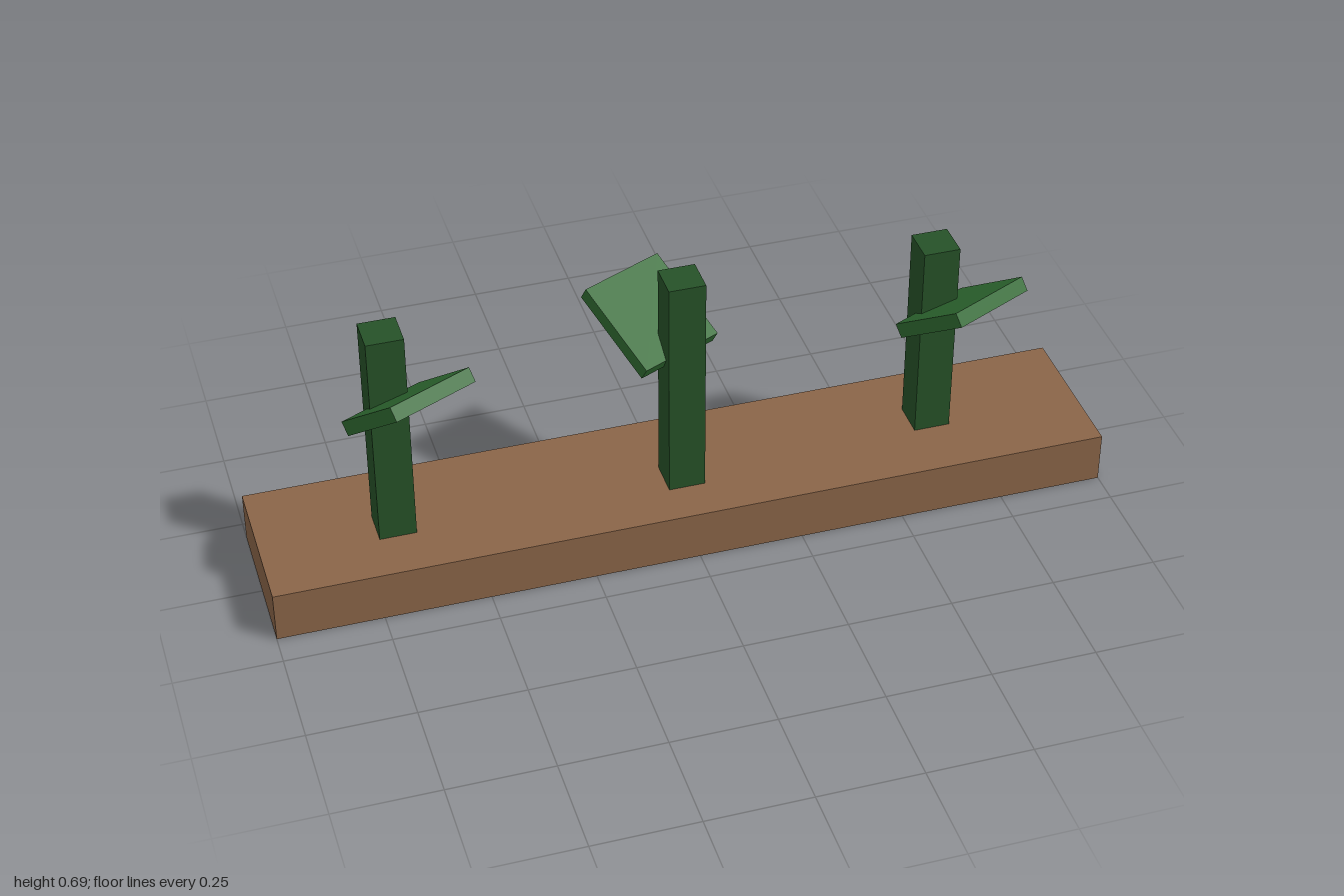
import * as THREE from 'three';

const soil = new THREE.MeshStandardMaterial({ color: 0x8a6548, side: THREE.DoubleSide });
soil.name = 'soilBrown';
const stem = new THREE.MeshStandardMaterial({ color: 0x265228 });
stem.name = 'stemGreen';
const leaf = new THREE.MeshStandardMaterial({ color: 0x306c32 });
leaf.name = 'leafGreen';

const BED_TOP = 0.125;
const YAW = THREE.MathUtils.degToRad(25);

function box(name, size, position, material) {
  const mesh = new THREE.Mesh(new THREE.BoxGeometry(...size), material);
  mesh.name = name;
  mesh.position.set(...position);
  return mesh;
}

// Stem x, z and top height; leaf centre, slope length and pitch (negative rises to the front)
const plants = [
  { x: -0.684, z: 0.003, top: 0.673, at: [-0.648, 0.532, 0.086], length: 0.24, pitch: -38 },
  { x: 0, z: 0.023, top: 0.69, at: [-0.046, 0.526, -0.08], length: 0.238, pitch: 29 },
  { x: 0.625, z: -0.023, top: 0.632, at: [0.664, 0.495, 0.0585], length: 0.225, pitch: -35 },
];

export function createModel() {
  const model = new THREE.Group();
  model.name = 'plantBed';

  // Soil bed: a shell with an open underside
  const bed = box('soilBed', [2, BED_TOP, 0.373], [0, BED_TOP / 2, -0.0135], soil);
  const index = Array.from(bed.geometry.index.array);
  index.splice(18, 6); // drop the bottom face
  bed.geometry.setIndex(index);
  bed.geometry.clearGroups();
  model.add(bed);

  // Each plant has a square stem and one tilted leaf
  for (const p of plants) {
    const plant = new THREE.Group();
    plant.name = 'plant';
    const height = p.top - BED_TOP;
    plant.add(box('stem', [0.087, height, 0.087], [p.x, BED_TOP + height / 2, p.z], stem));

    const blade = box('leaf', [0.217, 0.035, p.length], p.at, leaf);
    blade.rotation.set(THREE.MathUtils.degToRad(p.pitch), YAW, 0, 'YXZ');
    plant.add(blade);
    model.add(plant);
  }
  return model;
}
